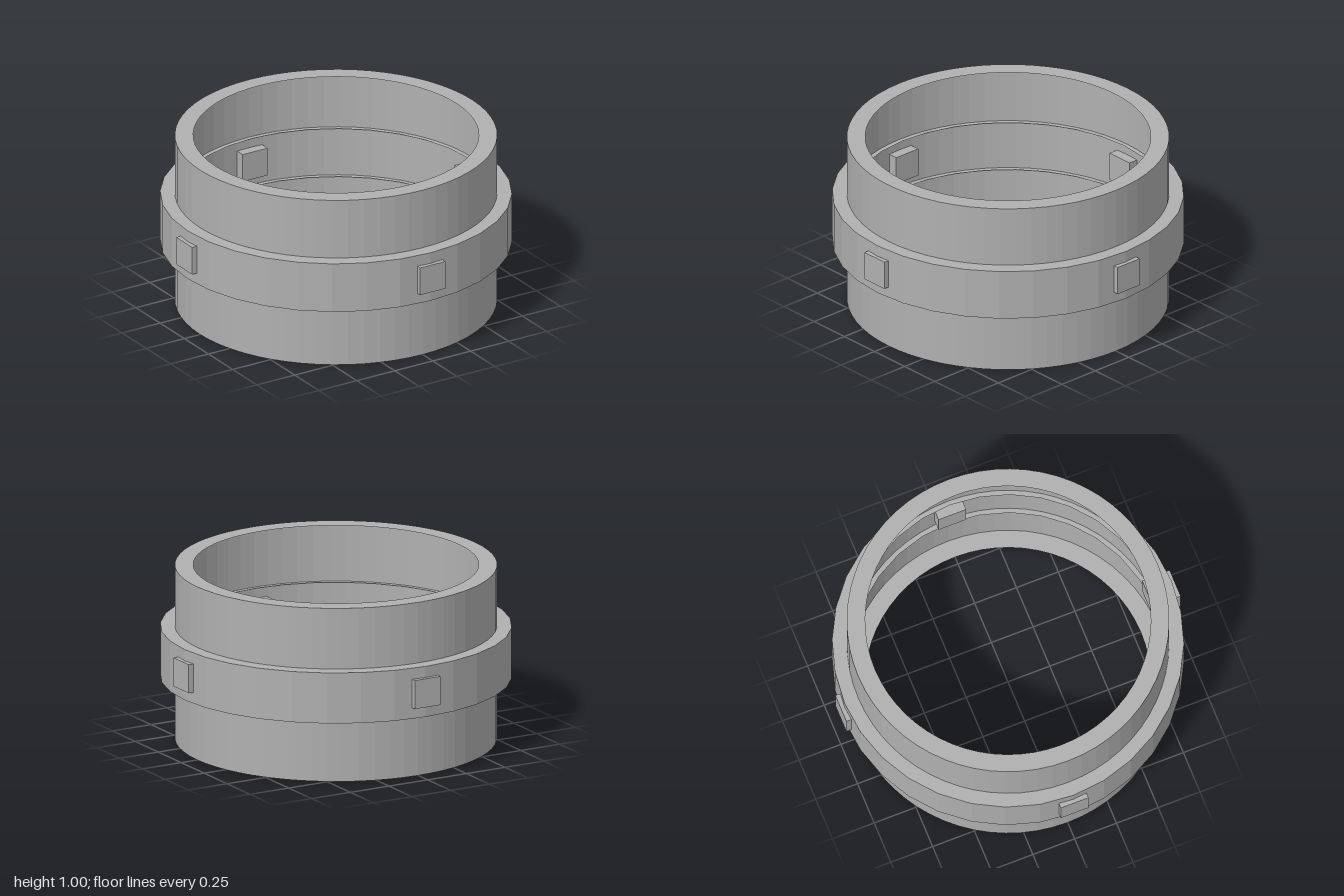
import * as THREE from 'three';

export function createModel() {
  const group = new THREE.Group();
  group.name = 'collarRing';
  const grey = new THREE.MeshStandardMaterial({ color: 0xb0b0b0, flatShading: true, side: THREE.DoubleSide });
  grey.name = 'grey';

  // Open-backed ring: a wall with a flat rim turned inward at each end
  const ring = (name, inner, outer, bottom, top, segments) => {
    const profile = [[inner, bottom], [outer, bottom], [outer, top], [inner, top]]
      .map(([r, y]) => new THREE.Vector2(r, y));
    const mesh = new THREE.Mesh(new THREE.LatheGeometry(profile, segments), grey);
    mesh.name = name;
    group.add(mesh);
  };
  ring('mainTube', 0.794, 0.896, 0, 1, 64);
  ring('outerBand', 0.87, 0.978, 0.358, 0.65, 32);

  // Four studs that pass through the wall at the quarter points
  const size = 0.165;
  const studGeometry = new THREE.BoxGeometry(size, size, size);
  const radius = 1 - size / 2;
  ['front', 'left', 'back', 'right'].forEach((side, i) => {
    const angle = i * Math.PI / 2;
    const stud = new THREE.Mesh(studGeometry, grey);
    stud.name = side + 'Stud';
    stud.position.set(Math.sin(angle) * radius, 0.503, Math.cos(angle) * radius);
    stud.rotation.y = angle;
    group.add(stud);
  });

  return group;
}
